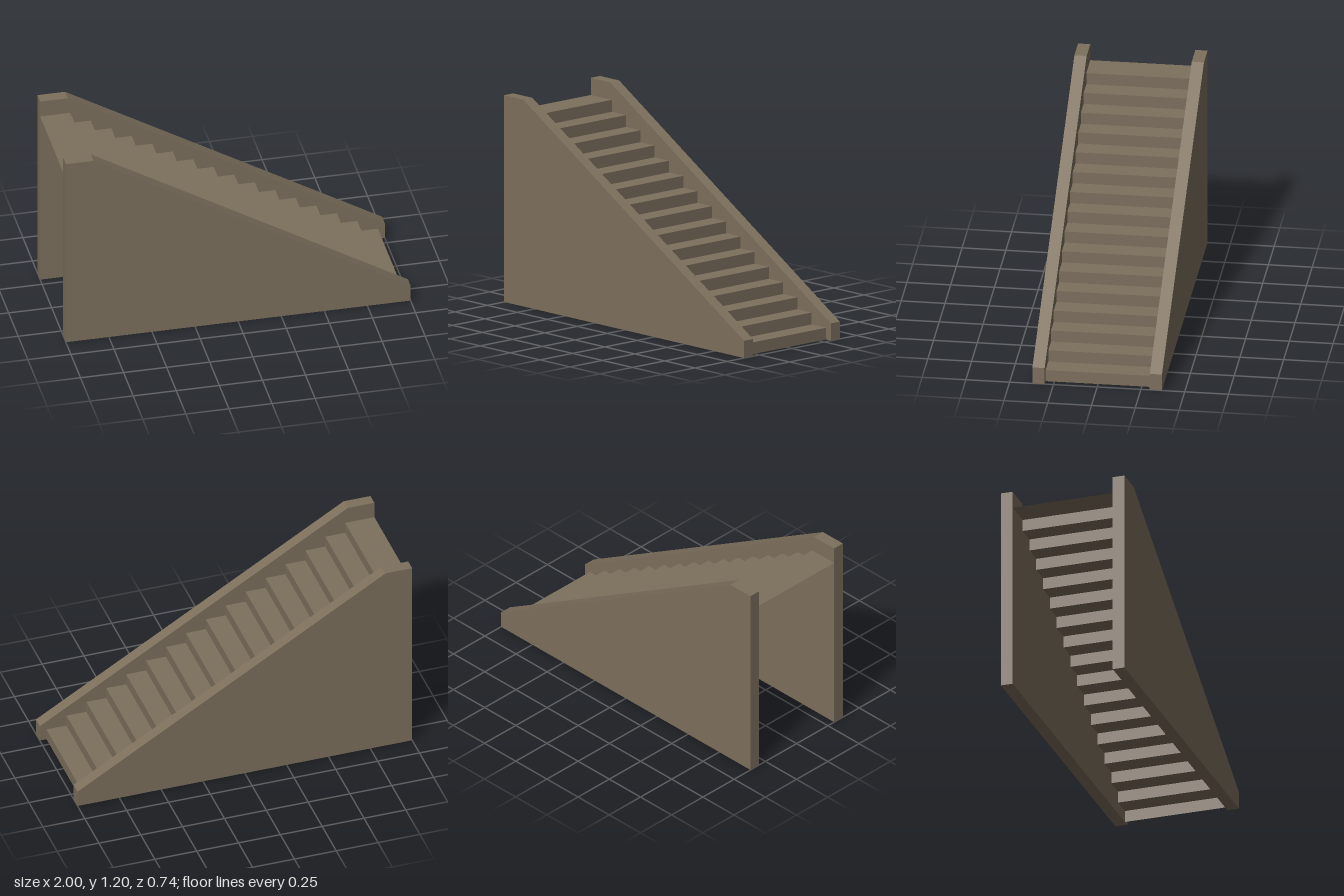
import * as THREE from 'three';

const STEPS = 16, TOP = 1.1, FRONT = 0.96, RUN = 0.119;
const INNER = 0.3, WALL = 0.07;

export function createModel() {
  const group = new THREE.Group();
  group.name = 'staircase';
  const stone = new THREE.MeshStandardMaterial({ color: 0x7d705d, side: THREE.DoubleSide });
  stone.name = 'brown stone';

  const add = (name, geometry, x, y, z) => {
    const mesh = new THREE.Mesh(geometry, stone);
    mesh.name = name;
    mesh.position.set(x, y, z);
    group.add(mesh);
  };

  // Solid side walls with a sloping top
  const profile = new THREE.Shape([
    [-1, 0], [1, 0], [1, 0.1], [-0.84, 1.2], [-1, 1.2],
  ].map(([x, y]) => new THREE.Vector2(x, y)));
  const wall = new THREE.ExtrudeGeometry(profile, { depth: WALL, bevelEnabled: false });
  add('frontWall', wall, 0, 0, INNER);
  add('backWall', wall, 0, 0, -INNER - WALL);

  // Thin risers and treads, hollow underneath; the last tread is the landing
  const rise = TOP / STEPS;
  for (let i = 0; i < STEPS; i++) {
    const x = FRONT - i * RUN;
    const end = i === STEPS - 1 ? -1 : x - RUN;
    const riser = new THREE.PlaneGeometry(INNER * 2, rise).rotateY(Math.PI / 2);
    add(`riser${i + 1}`, riser, x, (i + 0.5) * rise, 0);
    const tread = new THREE.PlaneGeometry(x - end, INNER * 2).rotateX(-Math.PI / 2);
    add(i === STEPS - 1 ? 'landing' : `tread${i + 1}`, tread, (x + end) / 2, (i + 1) * rise, 0);
  }
  return group;
}
